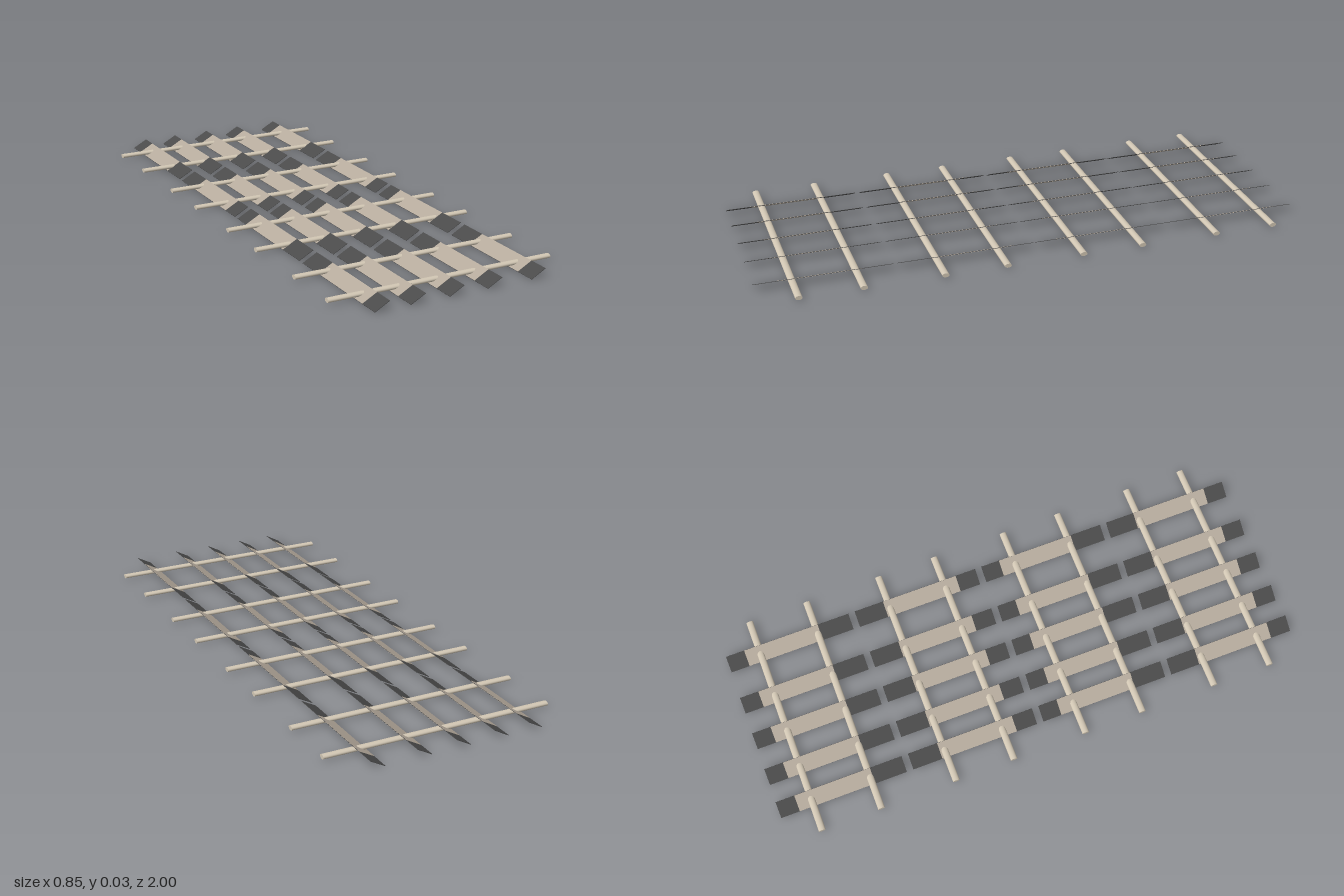
import * as THREE from 'three';

export function createModel() {
  const model = new THREE.Group();
  model.name = 'slattedLattice';

  const mat = (name, color) => {
    const m = new THREE.MeshStandardMaterial({ color });
    m.name = name;
    return m;
  };
  const rodTan = mat('rodTan', 0xd2c7b4);
  const slatBeige = mat('slatBeige', 0xb5aa9c);
  const charcoal = mat('charcoal', 0x4a4a4a);

  const add = (parent, name, geometry, material, y, z) => {
    const mesh = new THREE.Mesh(geometry, material);
    mesh.name = name;
    mesh.position.set(0, y, z);
    parent.add(mesh);
  };

  // Cross rods: slightly flattened round bars running along x
  const rodGeometry = new THREE.CylinderGeometry(1, 1, 0.85, 16)
    .rotateZ(Math.PI / 2)
    .scale(1, 0.0078, 0.0128);
  for (const z of [-0.877, -0.653, -0.367, -0.144, 0.136, 0.36, 0.646, 0.87]) {
    add(model, 'crossRod', rodGeometry, rodTan, 0.0135, z);
  }

  // Each slat length: [start, end] and its beige bands above and below
  const lengths = [
    { span: [-1, -0.522], top: [-0.93, -0.643], under: [-0.904, -0.657] },
    { span: [-0.497, -0.016], top: [-0.385, -0.095], under: [-0.364, -0.1] },
    { span: [0.009, 0.493], top: [0.08, 0.372], under: [0.107, 0.358] },
    { span: [0.518, 1], top: [0.63, 0.922], under: [0.658, 0.904] },
  ];
  const plate = (parent, name, [z0, z1], width, thickness, material, y) =>
    add(parent, name, new THREE.BoxGeometry(width, thickness, z1 - z0), material, y, (z0 + z1) / 2);

  // Five rows of tilted slats, raised on the left edge
  for (const x of [-0.299, -0.168, -0.024, 0.121, 0.292]) {
    const row = new THREE.Group();
    row.name = 'slatRow';
    row.position.set(x, 0.0157, 0);
    row.rotation.z = 0.5;
    for (const { span, top, under } of lengths) {
      plate(row, 'slat', span, 0.0615, 0.0015, charcoal, 0);
      plate(row, 'slatTopBand', top, 0.061, 0.0006, slatBeige, 0.001);
      plate(row, 'slatUnderBand', under, 0.061, 0.0006, slatBeige, -0.001);
    }
    model.add(row);
  }
  return model;
}
